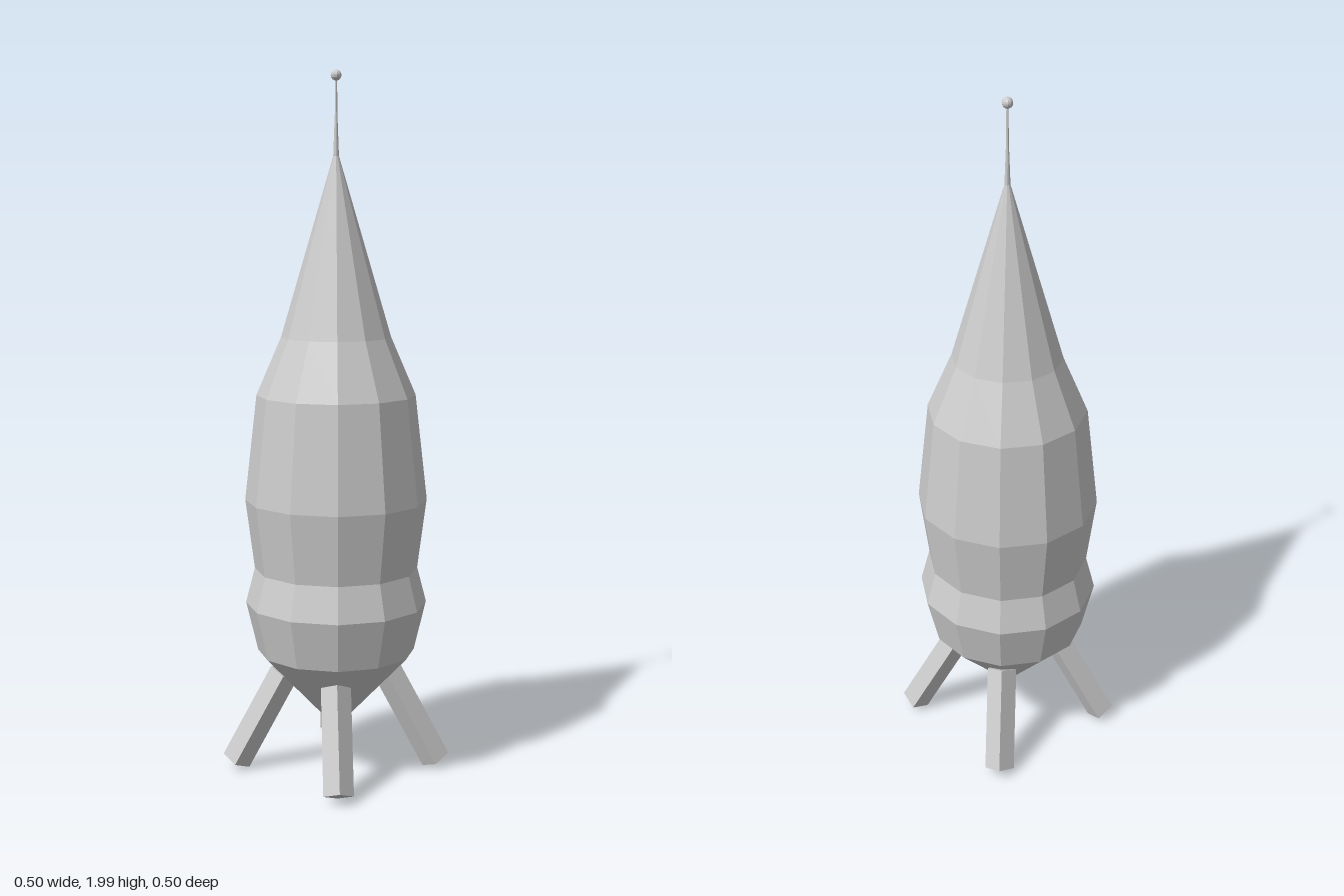
import * as THREE from 'three';

const SIDES = 12;
const material = new THREE.MeshStandardMaterial({ color: 0xcccccc, flatShading: true });

function addMesh(parent, name, geometry) {
  const mesh = new THREE.Mesh(geometry, material);
  mesh.name = name;
  parent.add(mesh);
  return mesh;
}

// Faceted turned part from [radius, height] pairs, flats facing the axes
function turned(profile, sides = SIDES) {
  const points = profile.map(([r, y]) => new THREE.Vector2(r, y));
  return new THREE.LatheGeometry(points, sides, Math.PI / sides);
}

export function createModel() {
  const rocket = new THREE.Group();
  rocket.name = 'rocket';

  // Hull: pointed tail, lower bulge, waist, belly and shoulder
  addMesh(rocket, 'hull', turned([
    [0, 0.12], [0.225, 0.355], [0.259, 0.497], [0.233, 0.597],
    [0.259, 0.797], [0.225, 1.097], [0.155, 1.26],
  ]));

  // Nose cone running up into the antenna base
  addMesh(rocket, 'noseCone', turned([[0.155, 1.26], [0.008, 1.762]]));

  // Antenna: tapered base, thin rod, ball tip
  addMesh(rocket, 'antenna', turned([
    [0.008, 1.762], [0.0035, 1.88], [0.003, 1.97],
  ]));
  const ball = addMesh(rocket, 'antennaBall', new THREE.SphereGeometry(0.015, 10, 8));
  ball.position.y = 1.981;

  // Four square legs splayed towards the corners
  const splay = THREE.MathUtils.degToRad(20);
  const legGeometry = new THREE.BoxGeometry(0.06, 0.3, 0.06);
  for (const [side, sx] of [['Left', 1], ['Right', -1]]) {
    for (const [end, sz] of [['front', 1], ['back', -1]]) {
      const leg = addMesh(rocket, `${end}${side}Leg`, legGeometry);
      leg.position.set(sx * 0.155, 0.154, sz * 0.157);
      leg.rotation.set(-sz * splay, 0, sx * splay);
    }
  }

  return rocket;
}
